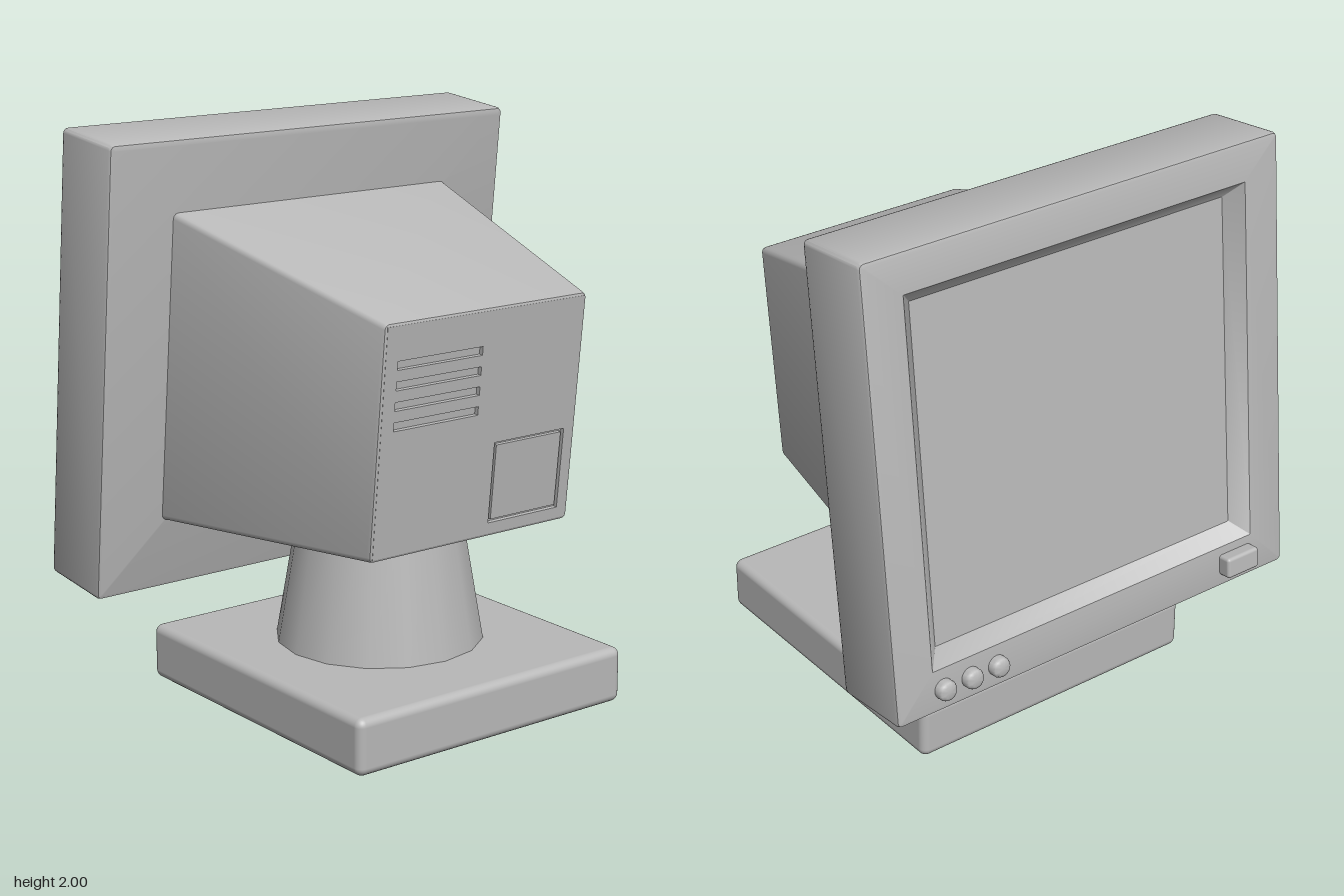
import * as THREE from 'three';
import { toCreasedNormals } from 'three/addons/utils/BufferGeometryUtils.js';
import { RoundedBoxGeometry } from 'three/addons/geometries/RoundedBoxGeometry.js';

const plastic = new THREE.MeshStandardMaterial({ color: 0xb8b8b8 });
plastic.name = 'grey plastic';

function add(parent, name, geometry, x = 0, y = 0, z = 0) {
  const mesh = new THREE.Mesh(geometry, plastic);
  mesh.name = name;
  mesh.position.set(x, y, z);
  parent.add(mesh);
  return mesh;
}

// Closed loft along x through rounded rectangles: [x, halfZ, halfY, corner radius, centreY]
function loft(sections) {
  const pos = [], index = [], steps = 3, n = 4 * (steps + 1);
  for (const [x, hz, hy, r, cy = 0] of sections) {
    for (let q = 0; q < 4; q++) {
      const cz = (q === 0 || q === 3 ? 1 : -1) * (hz - r);
      const cornerY = (q < 2 ? 1 : -1) * (hy - r);
      for (let s = 0; s <= steps; s++) {
        const a = (q + s / steps) * Math.PI / 2;
        pos.push(x, cy + cornerY + r * Math.sin(a), -(cz + r * Math.cos(a)));
      }
    }
  }
  const last = (sections.length - 1) * n;
  for (let i = 0; i < last; i += n) {
    for (let j = 0; j < n; j++) {
      const k = (j + 1) % n;
      index.push(i + j, i + k, i + n + k, i + j, i + n + k, i + n + j);
    }
  }
  for (let j = 1; j < n - 1; j++) {
    index.push(0, j + 1, j, last, last + j, last + j + 1);
  }
  const g = new THREE.BufferGeometry();
  g.setAttribute('position', new THREE.Float32BufferAttribute(pos, 3));
  g.setIndex(index);
  return toCreasedNormals(g, 0.55);
}

// Rectangle outline in the plane of the rear face
function rectangle(PathType, cx, cy, w, h) {
  const p = new PathType();
  p.moveTo(cx - w / 2, cy - h / 2);
  p.lineTo(cx + w / 2, cy - h / 2);
  p.lineTo(cx + w / 2, cy + h / 2);
  p.lineTo(cx - w / 2, cy + h / 2);
  p.closePath();
  return p;
}

export function createModel() {
  const model = new THREE.Group();
  model.name = 'monitor';

  // Stand
  add(model, 'base', new RoundedBoxGeometry(1.215, 0.2, 1.16, 4, 0.03), 0.137, 0.1, 0);
  add(model, 'neck', new THREE.CylinderGeometry(0.29, 0.37, 0.47, 16), 0.11, 0.425, 0);

  // Tilted head, screen towards -x
  const head = new THREE.Group();
  head.name = 'head';
  head.position.set(-0.475, 1.18, 0);
  head.rotation.z = -0.099;
  model.add(head);

  // Screen, sloped recess, front face, outer walls and back in one loft
  add(head, 'screenFrame', loft([
    [-0.1, 0.645, 0.61, 0.003, 0.008],
    [-0.155, 0.7, 0.662, 0.003, 0.008],
    [-0.155, 0.835, 0.795, 0.012],
    [-0.151, 0.846, 0.806, 0.015],
    [-0.14, 0.85, 0.81, 0.018],
    [0.14, 0.85, 0.81, 0.018],
    [0.151, 0.846, 0.806, 0.015],
    [0.155, 0.835, 0.795, 0.012],
  ]));

  // Tapered tube housing, its rear face recessed to take the pierced plate
  add(head, 'housing', loft([
    [0.13, 0.597, 0.56, 0.02],
    [1.11, 0.432, 0.408, 0.02],
    [1.121, 0.428, 0.404, 0.016],
    [1.125, 0.418, 0.394, 0.01],
    [1.109, 0.418, 0.394, 0.01],
  ]));

  // Rear plate with vent slots and hatch opening
  const plate = rectangle(THREE.Shape, 0, 0, 0.84, 0.792);
  for (let i = 0; i < 4; i++) {
    plate.holes.push(rectangle(THREE.Path, -0.192, 0.262 - i * 0.069, 0.355, 0.03));
  }
  plate.holes.push(rectangle(THREE.Path, 0.225, -0.213, 0.31, 0.287));
  const plateGeometry = new THREE.ExtrudeGeometry(plate, { depth: 0.016, bevelEnabled: false });
  plateGeometry.rotateY(Math.PI / 2);
  add(head, 'rearPlate', plateGeometry, 1.109, 0, 0);
  add(head, 'rearHatch', new THREE.BoxGeometry(0.014, 0.265, 0.288), 1.116, -0.213, -0.225);

  // Control knobs and power button below the screen
  const knobProfile = [[0, -0.01], [0.037, -0.01], [0.037, 0.02], [0.032, 0.03], [0.022, 0.035], [0, 0.036]]
    .map(([r, y]) => new THREE.Vector2(r, y));
  const knobGeometry = toCreasedNormals(new THREE.LatheGeometry(knobProfile, 20), 0.7);
  knobGeometry.rotateZ(Math.PI / 2);
  for (let i = 0; i < 3; i++) {
    add(head, 'controlKnob', knobGeometry, -0.155, -0.73, -0.66 + i * 0.11);
  }
  add(head, 'powerButton', new RoundedBoxGeometry(0.07, 0.078, 0.145, 3, 0.012), -0.168, -0.725, 0.625);

  return model;
}
